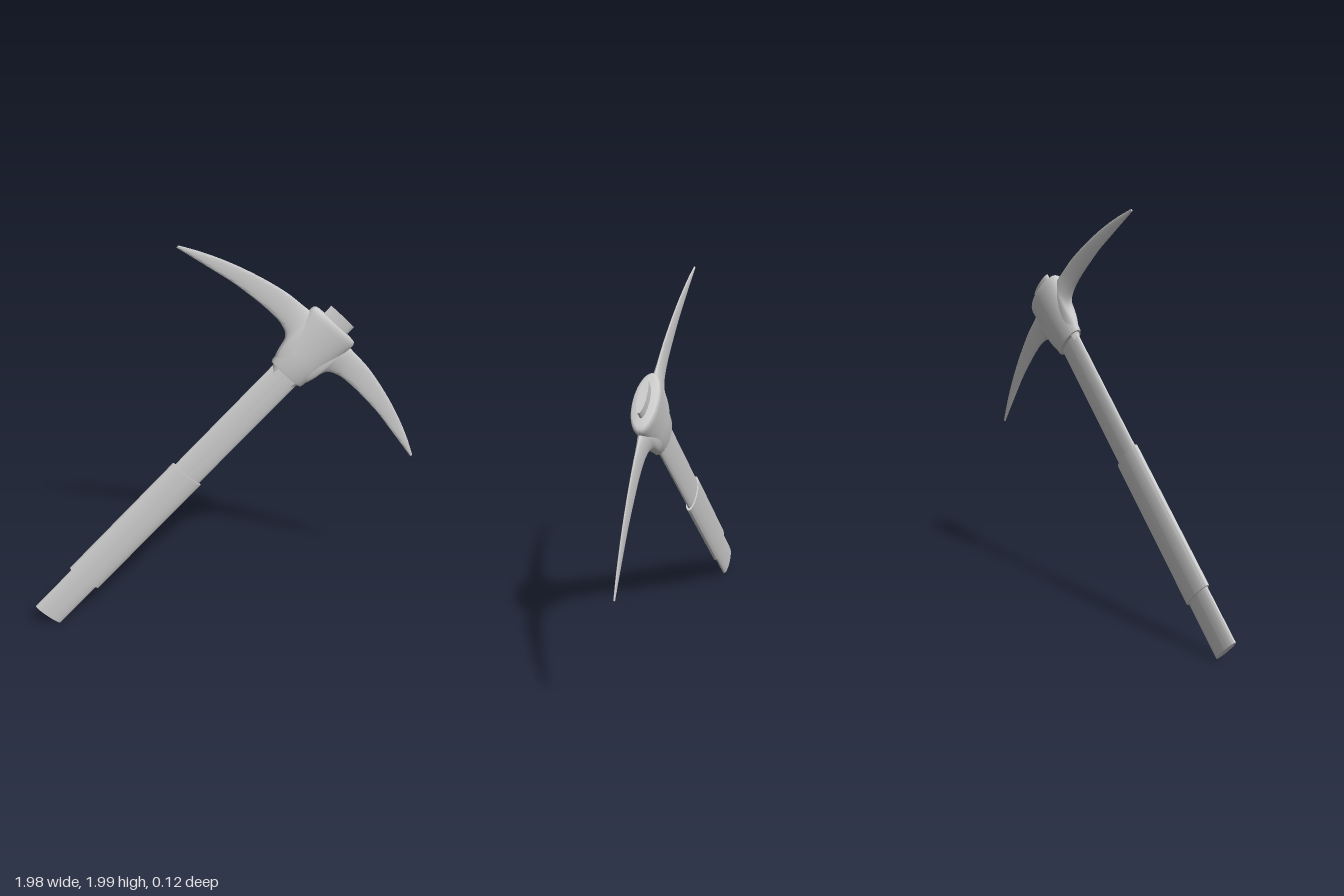
import * as THREE from 'three';
import { toCreasedNormals } from 'three/addons/utils/BufferGeometryUtils.js';

const material = new THREE.MeshStandardMaterial({ color: 0xcccccc });

// Flattened lathe: profile of [radius, height], squashed in z
function ovalLathe(name, profile, depthRatio) {
  const points = profile.map(([r, y]) => new THREE.Vector2(r, y));
  const geometry = new THREE.LatheGeometry(points, 64);
  geometry.scale(1, 1, depthRatio);
  const mesh = new THREE.Mesh(toCreasedNormals(geometry, 0.7), material);
  mesh.name = name;
  return mesh;
}

// Straight oval bar with flat ends
const ovalBar = (name, r, y0, y1, ratio) =>
  ovalLathe(name, [[0, y0], [r, y0], [r, y1], [0, y1]], ratio);

// Curved blade lofted through oval sections: [x, top, bottom, half thickness]
function bladeGeometry() {
  const sections = [
    [0.06, 2.07, 1.72, 0.040],
    [0.11, 2.07, 1.80, 0.034],
    [0.14, 2.07, 1.895, 0.024],
    [0.20, 2.066, 1.930, 0.014],
    [0.29, 2.060, 1.939, 0.009],
    [0.40, 2.040, 1.935, 0.007],
    [0.52, 2.010, 1.925, 0.006],
    [0.63, 1.975, 1.907, 0.005],
    [0.74, 1.932, 1.888, 0.005],
    [0.84, 1.884, 1.870, 0.004],
  ];
  const spline = (f) => new THREE.CatmullRomCurve3(sections.map(f), false, 'catmullrom');
  const outline = spline(([x, top, bottom]) => new THREE.Vector3(x, top, bottom));
  const thickness = spline(([x, , , t]) => new THREE.Vector3(x, t, 0));
  const steps = 45, sides = 24;
  const positions = [], index = [];
  for (let i = 0; i <= steps; i++) {
    const { x, y: top, z: bottom } = outline.getPoint(i / steps);
    const t = thickness.getPoint(i / steps).y;
    for (let j = 0; j < sides; j++) {
      const a = (j / sides) * Math.PI * 2;
      positions.push(x, (top + bottom) / 2 + Math.cos(a) * (top - bottom) / 2, Math.sin(a) * t);
      if (i === steps) continue;
      const p = i * sides + j, q = i * sides + (j + 1) % sides;
      index.push(p, q, p + sides, q, q + sides, p + sides);
    }
  }
  // Tip cap
  const last = steps * sides;
  for (let j = 1; j < sides - 1; j++) index.push(last, last + j, last + j + 1);
  const geometry = new THREE.BufferGeometry();
  geometry.setAttribute('position', new THREE.Float32BufferAttribute(positions, 3));
  geometry.setIndex(index);
  return toCreasedNormals(geometry, 0.9);
}

export function createModel() {
  const model = new THREE.Group();
  model.name = 'pickaxe';

  // Built upright along the handle, then leaned over
  const tool = new THREE.Group();
  tool.name = 'leaningTool';
  tool.position.set(-0.925, 0.068, 0);
  tool.rotation.z = -0.7755;
  model.add(tool);

  // The shaft runs through the head and pokes out on top
  tool.add(ovalBar('shaft', 0.083, 0, 2.156, 0.25));
  tool.add(ovalBar('grip', 0.097, 0.283, 1.057, 0.29));

  // Flared socket with a rounded rim
  tool.add(ovalLathe('headSocket', [
    [0, 1.765], [0.100, 1.765], [0.105, 1.772], [0.120, 1.88], [0.135, 1.98],
    [0.146, 2.06], [0.148, 2.08], [0.145, 2.095], [0.136, 2.104], [0.122, 2.107], [0, 2.107],
  ], 0.41));

  // Two matching blades
  const blade = bladeGeometry();
  ['leftBlade', 'rightBlade'].forEach((name, i) => {
    const mesh = new THREE.Mesh(blade, material);
    mesh.name = name;
    mesh.rotation.y = i * Math.PI;
    tool.add(mesh);
  });

  return model;
}
